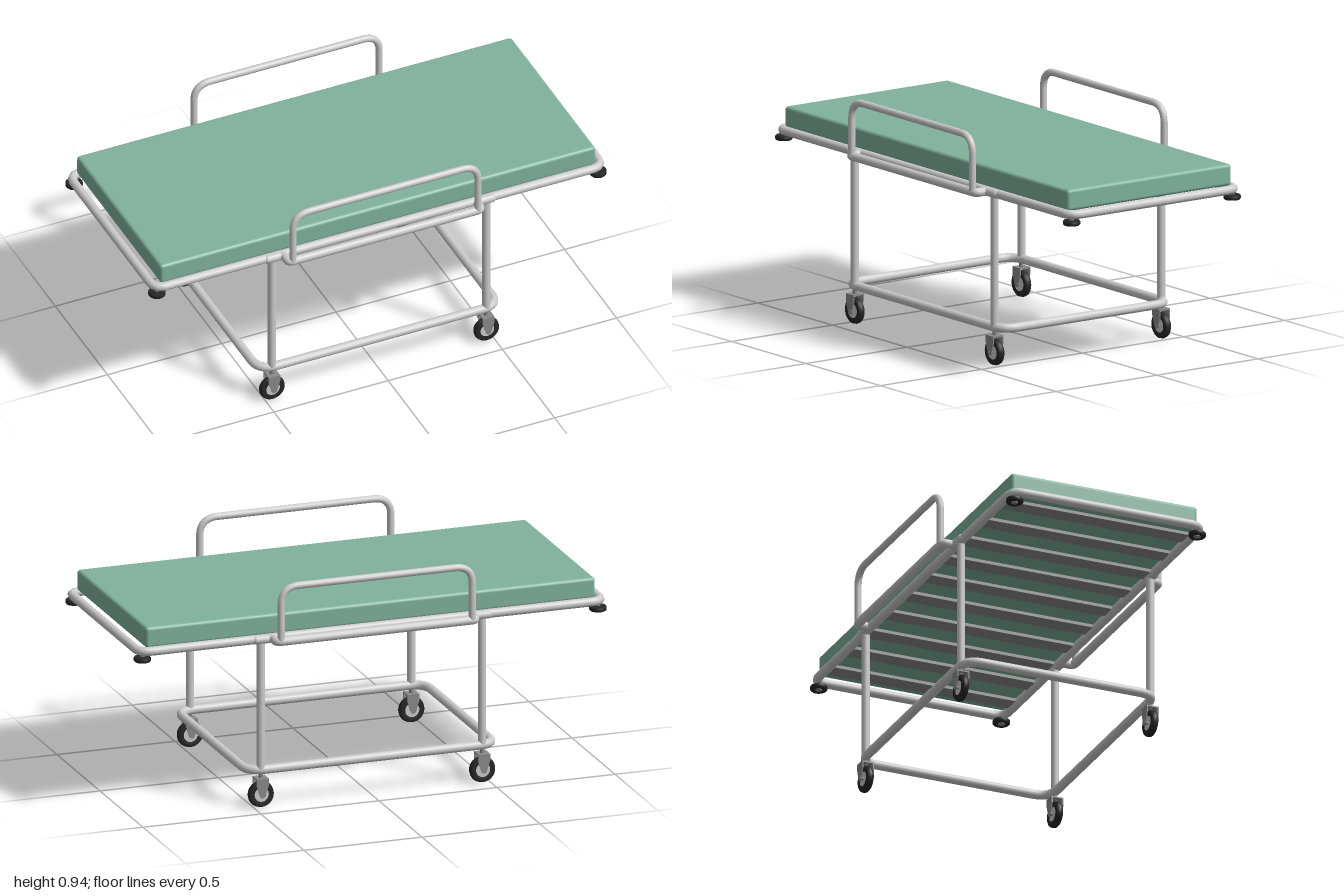
import * as THREE from 'three';
import { RoundedBoxGeometry } from 'three/addons/geometries/RoundedBoxGeometry.js';

const steel = new THREE.MeshStandardMaterial({ color: 0xcccccc });
const darkSteel = new THREE.MeshStandardMaterial({ color: 0x8a8a8a });
const rubber = new THREE.MeshStandardMaterial({ color: 0x262626 });
const vinyl = new THREE.MeshStandardMaterial({ color: 0x80b29c });

const V = (x, y, z) => new THREE.Vector3(x, y, z);

function add(parent, name, geometry, material, x = 0, y = 0, z = 0) {
  const mesh = new THREE.Mesh(geometry, material);
  mesh.name = name;
  mesh.position.set(x, y, z);
  parent.add(mesh);
  return mesh;
}

// Round tube along straight runs whose corners are bent with the given radius
function bentTube(points, bend, radius, closed = false) {
  const path = new THREE.CurvePath();
  const n = points.length;
  const toward = (a, b) => a.clone().add(b.clone().sub(a).setLength(bend));
  const start = closed ? points[0].clone().lerp(points[n - 1], 0.5) : points[0];
  let last = start;
  for (let i = closed ? 0 : 1; i < (closed ? n : n - 1); i++) {
    const p = points[i];
    const a = toward(p, points[(i + n - 1) % n]);
    const b = toward(p, points[(i + 1) % n]);
    path.add(new THREE.LineCurve3(last, a));
    path.add(new THREE.QuadraticBezierCurve3(a, p, b));
    last = b;
  }
  path.add(new THREE.LineCurve3(last, closed ? start : points[n - 1]));
  path.arcLengthDivisions = 800;
  return new THREE.TubeGeometry(path, 240, radius, 14, closed);
}

const loop = (x, y, z) => [V(x, y, z), V(-x, y, z), V(-x, y, -z), V(x, y, -z)];

// Swivel caster; origin on the floor below the stem, wheel rolling along x
function makeCaster() {
  const g = new THREE.Group();
  g.name = 'caster';
  const tyre = [[0.03, -0.012], [0.046, -0.015], [0.052, -0.01], [0.0545, 0], [0.052, 0.01], [0.046, 0.015], [0.03, 0.012]]
    .map(([r, h]) => new THREE.Vector2(r, h));
  add(g, 'tyre', new THREE.LatheGeometry(tyre, 32), rubber, 0, 0.055, 0).rotation.x = Math.PI / 2;
  add(g, 'hub', new THREE.CylinderGeometry(0.031, 0.031, 0.022, 28), steel, 0, 0.055, 0).rotation.x = Math.PI / 2;
  add(g, 'axle', new THREE.CylinderGeometry(0.006, 0.006, 0.054, 12), darkSteel, 0, 0.055, 0).rotation.x = Math.PI / 2;

  // Tapered fork plates with a rounded tip around the axle
  const plate = new THREE.Shape();
  plate.moveTo(-0.025, 0.124);
  plate.lineTo(-0.025, 0.095);
  plate.lineTo(-0.012, 0.055);
  plate.absarc(0, 0.055, 0.012, Math.PI, Math.PI * 2, false);
  plate.lineTo(0.025, 0.095);
  plate.lineTo(0.025, 0.124);
  const plateGeo = new THREE.ExtrudeGeometry(plate, { depth: 0.005, bevelEnabled: false });
  for (const z of [0.021, -0.026]) add(g, 'forkPlate', plateGeo, darkSteel, 0, 0, z);
  add(g, 'forkCrown', new THREE.BoxGeometry(0.05, 0.006, 0.052), darkSteel, 0, 0.121, 0);
  add(g, 'stem', new THREE.CylinderGeometry(0.009, 0.009, 0.04, 14), darkSteel, 0, 0.135, 0);
  return g;
}

// Side guard on +z: arched rail standing on an outrigger tube
function makeSideRail() {
  const g = new THREE.Group();
  g.name = 'sideRail';
  const bracket = [V(-0.49, 0.703, 0.419), V(-0.422, 0.703, 0.419), V(-0.422, 0.703, 0.471),
    V(0.422, 0.703, 0.471), V(0.422, 0.703, 0.419), V(0.49, 0.703, 0.419)];
  add(g, 'railBracket', bentTube(bracket, 0.02, 0.018), steel);
  for (const x of [-0.49, 0.49]) add(g, 'bracketEnd', new THREE.SphereGeometry(0.018, 14, 10), steel, x, 0.703, 0.419);
  const arch = [V(-0.405, 0.703, 0.474), V(-0.405, 0.931, 0.474), V(0.405, 0.931, 0.474), V(0.405, 0.703, 0.474)];
  add(g, 'railArch', bentTube(arch, 0.075, 0.0145), steel);
  return g;
}

export function createModel() {
  const model = new THREE.Group();
  model.name = 'stretcher';

  // Mattress and the slats carrying it
  add(model, 'mattress', new RoundedBoxGeometry(1.905, 0.088, 0.81, 4, 0.014), vinyl, 0, 0.756, 0);
  const slatGeo = new THREE.BoxGeometry(0.075, 0.014, 0.82);
  for (let i = 0; i < 10; i++) add(model, 'slat', slatGeo, darkSteel, -0.855 + i * 0.19, 0.706, 0);

  // Tubular loops
  add(model, 'topFrame', bentTube(loop(0.981, 0.703, 0.412), 0.05, 0.0185, true), steel);
  add(model, 'baseFrame', bentTube(loop(0.525, 0.156, 0.412), 0.075, 0.0185, true), steel);

  // Legs, casters and corner bumpers
  const legGeo = new THREE.CylinderGeometry(0.0165, 0.0165, 0.545, 18);
  const bumper = [[0, -0.007], [0.018, -0.007], [0.022, -0.01], [0.031, -0.01], [0.035, -0.005], [0.035, 0.005], [0.031, 0.01], [0, 0.01]]
    .map(([r, h]) => new THREE.Vector2(r, h));
  const bumperGeo = new THREE.LatheGeometry(bumper, 28);
  const capGeo = new THREE.CylinderGeometry(0.014, 0.014, 0.004, 20);
  const pinGeo = new THREE.CylinderGeometry(0.01, 0.01, 0.03, 14);
  for (const sx of [1, -1]) {
    for (const sz of [1, -1]) {
      add(model, 'leg', legGeo, steel, sx * 0.469, 0.43, sz * 0.412);
      const caster = makeCaster();
      caster.position.set(sx * 0.469, 0, sz * 0.412);
      model.add(caster);
      add(model, 'bumper', bumperGeo, rubber, sx * 0.965, 0.67, sz * 0.397);
      add(model, 'bumperCap', capGeo, darkSteel, sx * 0.965, 0.662, sz * 0.397);
      add(model, 'bumperPin', pinGeo, darkSteel, sx * 0.965, 0.688, sz * 0.397);
    }
  }

  // Guards on both long sides
  const frontRail = makeSideRail();
  const backRail = makeSideRail();
  backRail.rotation.y = Math.PI;
  model.add(frontRail, backRail);
  return model;
}
